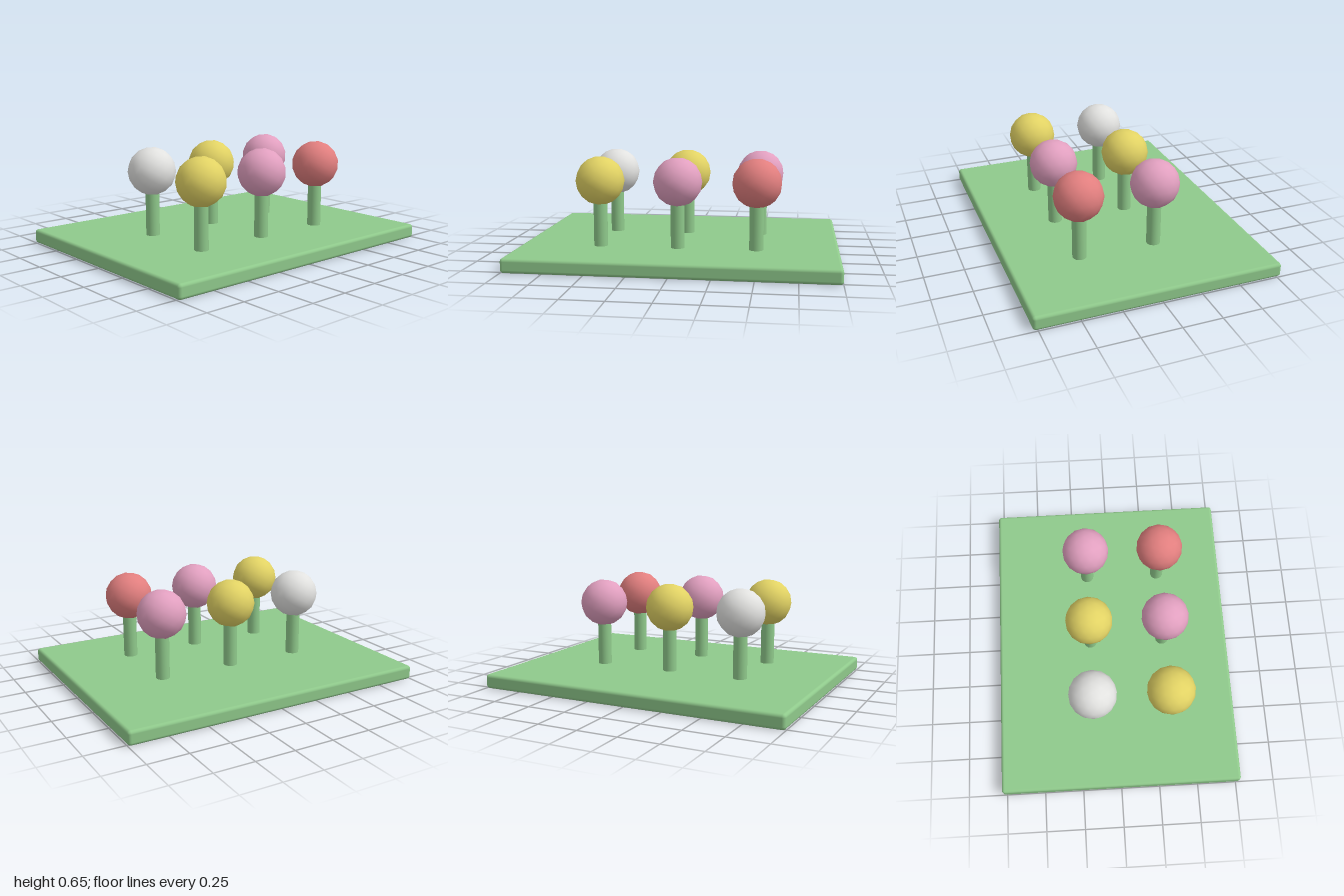
import * as THREE from 'three';
import { RoundedBoxGeometry } from 'three/addons/geometries/RoundedBoxGeometry.js';

const mat = (name, color) => new THREE.MeshStandardMaterial({ name, color });

export function createModel() {
  const green = mat('leaf green', 0x8fc98b);
  const yellow = mat('yellow', 0xe2d364);
  const pink = mat('pink', 0xe2a0c0);
  const red = mat('coral red', 0xe27f7f);
  const white = mat('white', 0xe2e2e0);

  const model = new THREE.Group();
  model.name = 'flowerBed';

  // Rounded lawn slab
  const base = new THREE.Mesh(new RoundedBoxGeometry(2, 0.09, 1.556, 3, 0.02), green);
  base.name = 'base';
  base.position.y = 0.045;
  model.add(base);

  // Two rows of ball flowers on stems
  const stemGeo = new THREE.CylinderGeometry(0.044, 0.044, 0.3, 16);
  const ballGeo = new THREE.IcosahedronGeometry(0.153, 2);
  const rows = [
    { z: 0.335, colors: [yellow, pink, red] },
    { z: -0.155, colors: [white, yellow, pink] },
  ];
  for (const { z, colors } of rows) {
    colors.forEach((color, i) => {
      const flower = new THREE.Group();
      flower.name = 'flower';
      flower.position.set((i - 1) * 0.49, 0, z);

      const stem = new THREE.Mesh(stemGeo, green);
      stem.name = 'stem';
      stem.position.y = 0.23;

      const ball = new THREE.Mesh(ballGeo, color);
      ball.name = 'bloom';
      ball.position.y = 0.503;

      flower.add(stem, ball);
      model.add(flower);
    });
  }
  return model;
}
